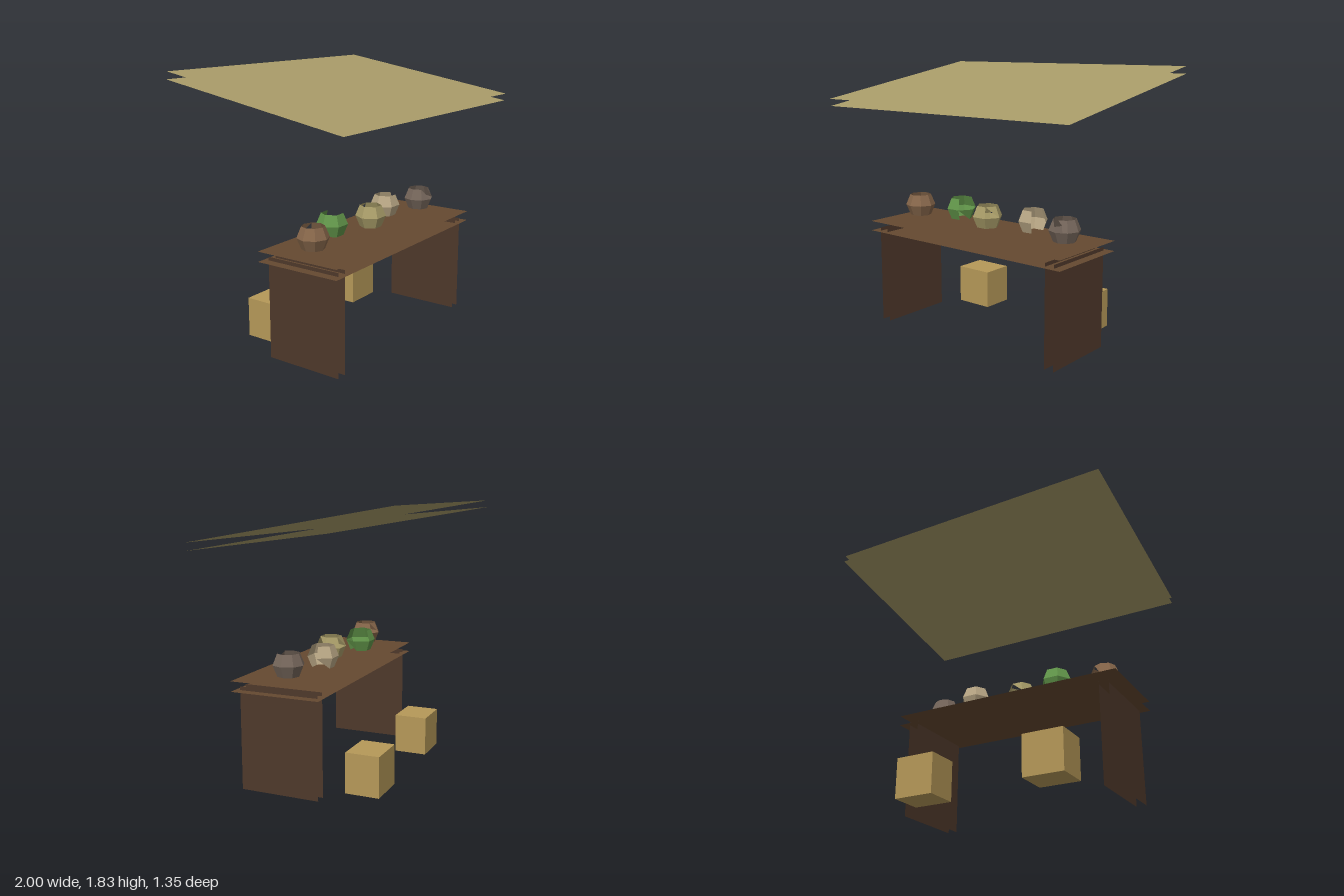
import * as THREE from 'three';

const mat = (color) => new THREE.MeshStandardMaterial({ color, flatShading: true, side: THREE.DoubleSide });

// Two parallel sheets facing along y, a gap apart and open at the sides
function doubleSheet(name, w, d, gap, material) {
  const g = new THREE.Group();
  g.name = name;
  for (const s of [-1, 1]) {
    const m = new THREE.Mesh(new THREE.PlaneGeometry(w, d).rotateX(-Math.PI / 2), material);
    m.name = s > 0 ? name + 'Upper' : name + 'Lower';
    m.position.y = s * gap / 2;
    g.add(m);
  }
  return g;
}

// Faceted ball open at both poles; skip lists dropped triangles as [band, segment, half]
function ballGeometry(segments, skip) {
  const geo = new THREE.SphereGeometry(0.105, segments, 2, 0, Math.PI * 2, Math.PI / 4, Math.PI / 2);
  const dropped = new Set(skip.map(([band, seg, half]) => (band * segments + seg) * 2 + half));
  geo.setIndex(Array.from(geo.index.array).filter((_, i) => !dropped.has(Math.floor(i / 3))));
  return geo;
}

export function createModel() {
  const model = new THREE.Group();
  model.name = 'marketStall';

  // Canopy, sloping down to the front
  const canopy = doubleSheet('canopy', 2, 1.361, 0.05, mat(0xa89b68));
  canopy.position.set(0, 1.69, -0.003);
  canopy.rotation.x = 0.17;
  model.add(canopy);

  // Table top
  const top = doubleSheet('tableTop', 1.65, 0.61, 0.068, mat(0x654930));
  top.position.set(0, 0.695, 0.18);
  model.add(top);

  // Panel legs, one at each end, and stools behind the table
  const legMat = mat(0x4e382a), stoolMat = mat(0xb59858);
  for (const s of [-1, 1]) {
    const leg = doubleSheet('leg', 0.685, 0.543, 0.068, legMat);
    leg.rotation.z = -Math.PI / 2;
    leg.position.set(s * 0.728, 0.3425, 0.181);
    model.add(leg);

    const stool = new THREE.Mesh(new THREE.BoxGeometry(0.275, 0.272, 0.23), stoolMat);
    stool.name = 'stool';
    stool.position.set(s * 0.457, 0.147, -0.315);
    model.add(stool);
  }

  // Row of broken faceted goods on the table
  const goods = [
    { color: 0x86664a, z: 0.17, seg: 8, skip: [[0, 5, 1]] },
    { color: 0x62964a, z: 0.08, seg: 6, skip: [[0, 2, 0], [0, 2, 1], [0, 3, 0], [0, 3, 1], [1, 2, 1]] },
    { color: 0xa89c68, z: 0.17, seg: 6, skip: [[0, 2, 1], [0, 4, 1]] },
    { color: 0xb8a684, z: 0.08, seg: 6, skip: [[0, 2, 0], [0, 2, 1], [1, 2, 0], [1, 2, 1], [1, 3, 1]] },
    { color: 0x74655a, z: 0.17, seg: 8, skip: [[0, 2, 1], [0, 1, 0]] },
  ];
  goods.forEach(({ color, z, seg, skip }, i) => {
    const ball = new THREE.Mesh(ballGeometry(seg, skip), mat(color));
    ball.name = 'goods' + (i + 1);
    ball.position.set((i - 2) * 0.319, 0.828, z);
    model.add(ball);
  });

  return model;
}
